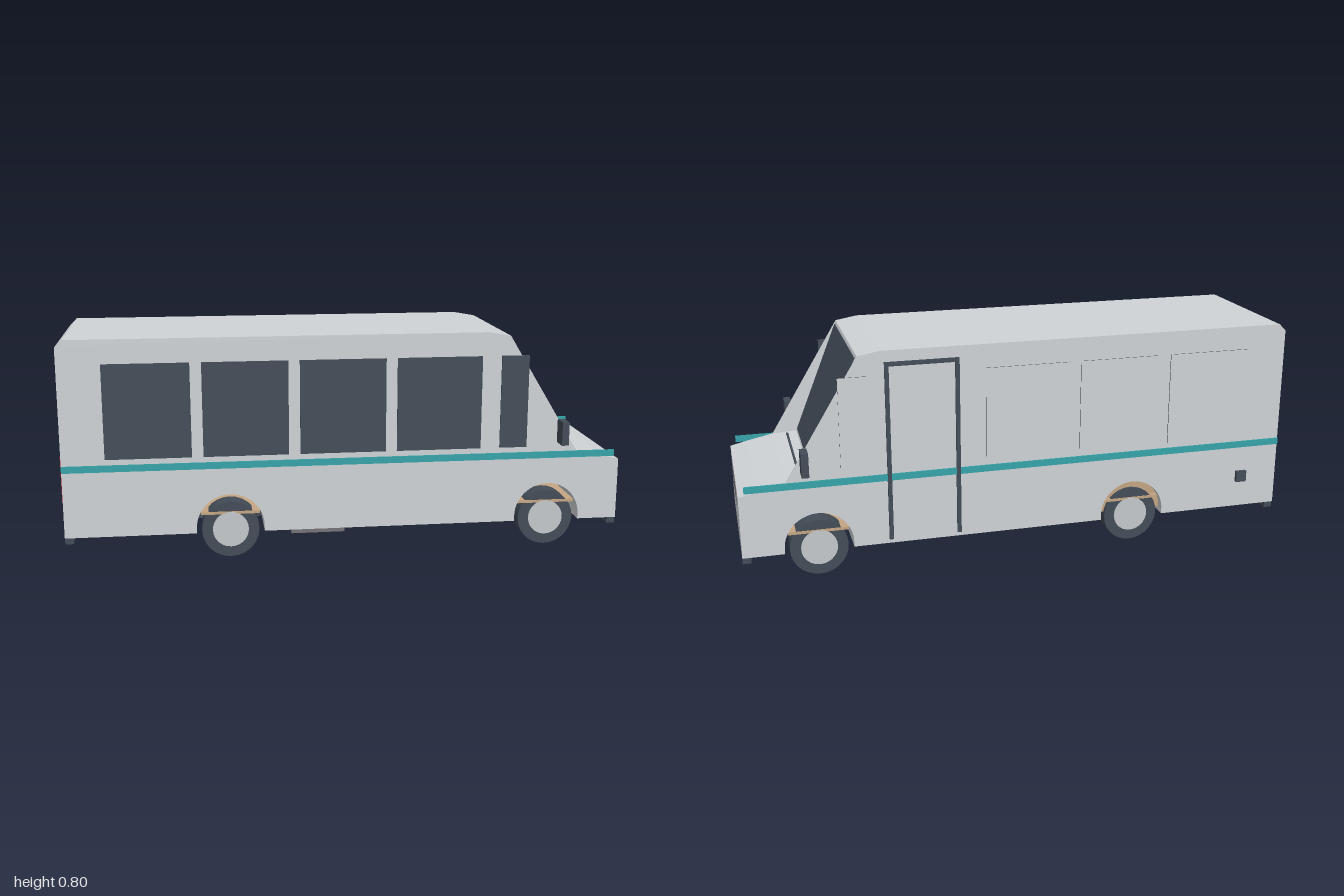
import * as THREE from 'three';

const mat = (name, color, extra = {}) => Object.assign(new THREE.MeshStandardMaterial({ color, ...extra }), { name });

export function createModel() {
  const bus = new THREE.Group();
  bus.name = 'minibus';
  const paint = mat('silver paint', 0xcfd3d6);
  const dark = mat('dark glass and rubber', 0x434c57);
  const teal = mat('teal stripe', 0x36a3a8);
  const grey = mat('grey plastic', 0x757375);
  const red = mat('red lamp', 0xb02020);
  const tan = mat('tan board', 0xc4a684);
  const hubGrey = mat('hub silver', 0xc4c8cb);

  const W = 0.277;               // half width of the body
  const axles = [-0.42, 0.735];  // wheel positions along x

  const add = (name, geometry, material, x = 0, y = 0, z = 0, parent = bus) => {
    const m = new THREE.Mesh(geometry, material);
    m.name = name;
    m.position.set(x, y, z);
    parent.add(m);
    return m;
  };
  // Box given by its limits on each axis
  const box = (name, material, [x0, x1], [y0, y1], [z0, z1]) =>
    add(name, new THREE.BoxGeometry(x1 - x0, y1 - y0, z1 - z0), material,
      (x0 + x1) / 2, (y0 + y1) / 2, (z0 + z1) / 2);

  // Body: side profile with wheel arches, extruded across the width
  const side = new THREE.Shape();
  side.moveTo(1, 0.095);
  for (const x of [...axles].reverse()) {
    side.lineTo(x + 0.12, 0.095);
    side.absarc(x, 0.115, 0.12, 0, Math.PI, false);
    side.lineTo(x - 0.12, 0.095);
  }
  for (const [x, y] of [[-1, 0.095], [-1, 0.77], [-0.975, 0.795], [0.5, 0.795], [0.58, 0.781],
    [0.75, 0.36], [0.84, 0.354], [0.94, 0.333], [1, 0.318]]) side.lineTo(x, y);
  side.closePath();
  const bodyGeo = new THREE.ExtrudeGeometry(side, { depth: 2 * W, bevelEnabled: false, curveSegments: 16 });
  add('body', bodyGeo, paint, 0, 0, -W);

  // Triangular pillar plates beside the windscreen
  const pillar = new THREE.Shape([[0.58, 0.781], [0.75, 0.36], [0.84, 0.354]].map(p => new THREE.Vector2(...p)));
  const pillarGeo = new THREE.ExtrudeGeometry(pillar, { depth: 0.004, bevelEnabled: false });
  for (const z of [W - 0.004, -W]) add('windscreenPillar', pillarGeo, paint, 0, 0, z);

  // Windscreen: thin plate lying on the sloped front
  const slope = Math.atan2(0.17, 0.421);
  const screen = add('windscreen', new THREE.BoxGeometry(0.006, 0.43, 0.512), dark, 0.665, 0.571, 0);
  screen.rotation.z = slope;
  box('wiper', dark, [0.783, 0.791], [0.355, 0.361], [-0.25, 0.25]);

  // Side windows: glazed on the left, body-coloured panels with dark edges on the right
  const panel = [dark, dark, dark, dark, paint, paint];
  const spans = [[-0.85, -0.55], [-0.51, -0.21], [-0.17, 0.135], [0.175, 0.48], [0.55, 0.65]];
  spans.forEach((span, i) => {
    box('leftWindow', dark, span, [0.375, 0.71], [W - 0.001, W + 0.004]);
    if (i !== 3) box('rightPanel', panel, span, [0.375, 0.71], [-W - 0.004, -W + 0.001]);
  });

  // Door frame on the right side
  const doorZ = [-W - 0.006, -W + 0.001];
  box('doorJamb', dark, [0.23, 0.245], [0.11, 0.755], doorZ);
  box('doorJamb', dark, [0.475, 0.49], [0.11, 0.755], doorZ);
  box('doorHead', dark, [0.23, 0.49], [0.74, 0.755], doorZ);

  for (const s of [1, -1]) {
    const zs = (a, b) => s > 0 ? [a, b] : [-b, -a];
    box('sideStripe', teal, [-1, 0.98], [0.331, 0.355], zs(W - 0.001, W + 0.005));
    box('mirror', dark, [0.763, 0.788], [0.39, 0.475], zs(0.28, 0.34));
    box('tailLamp', red, [-1.003, -0.997], [0.225, 0.39], zs(0.228, 0.265));
  }

  // Ends
  box('rearWindow', dark, [-1.003, -0.997], [0.385, 0.7], [-0.21, 0.21]);
  box('grille', grey, [0.997, 1.002], [0.245, 0.311], [-0.157, 0.157]);
  box('frontBumper', dark, [0.97, 1], [0.071, 0.095], [-0.27, 0.27]);
  box('rearBumper', dark, [-1, -0.97], [0.071, 0.095], [-0.27, 0.27]);
  box('fuelCap', dark, [-0.875, -0.835], [0.195, 0.237], [-0.29, -W]);
  box('underfloorTank', grey, [-0.19, 0.01], [0.022, 0.088], [-0.1, 0.1]);

  // Running gear
  const tyreGeo = new THREE.CylinderGeometry(0.102, 0.102, 0.066, 28).rotateX(Math.PI / 2);
  const hubGeo = new THREE.CylinderGeometry(0.064, 0.064, 0.074, 28).rotateX(Math.PI / 2);
  const axleGeo = new THREE.CylinderGeometry(0.014, 0.014, 0.4, 12).rotateX(Math.PI / 2);
  for (const x of axles) {
    const set = new THREE.Group();
    set.name = 'axleSet';
    set.position.set(x, 0.102, 0);
    bus.add(set);
    add('axle', axleGeo, dark, 0, 0, 0, set);
    add('axleBoard', new THREE.BoxGeometry(0.21, 0.01, 0.53), tan, 0, 0.061, 0, set);
    for (const s of [1, -1]) {
      add('tyre', tyreGeo, dark, 0, 0, s * 0.23, set);
      add('hub', hubGeo, hubGrey, 0, 0, s * 0.23, set);
      add('spring', new THREE.BoxGeometry(0.236, 0.016, 0.025), dark, 0, 0.012, s * 0.12, set);
    }
  }

  // Arch cover behind the right rear wheel, facing outward only
  const cover = new THREE.Shape();
  cover.absarc(0, 0, 0.119, 0, Math.PI, false);
  const coverGeo = new THREE.ShapeGeometry(cover, 16).rotateY(Math.PI);
  add('archCover', coverGeo, tan, axles[0], 0.115, -0.25);

  return bus;
}
